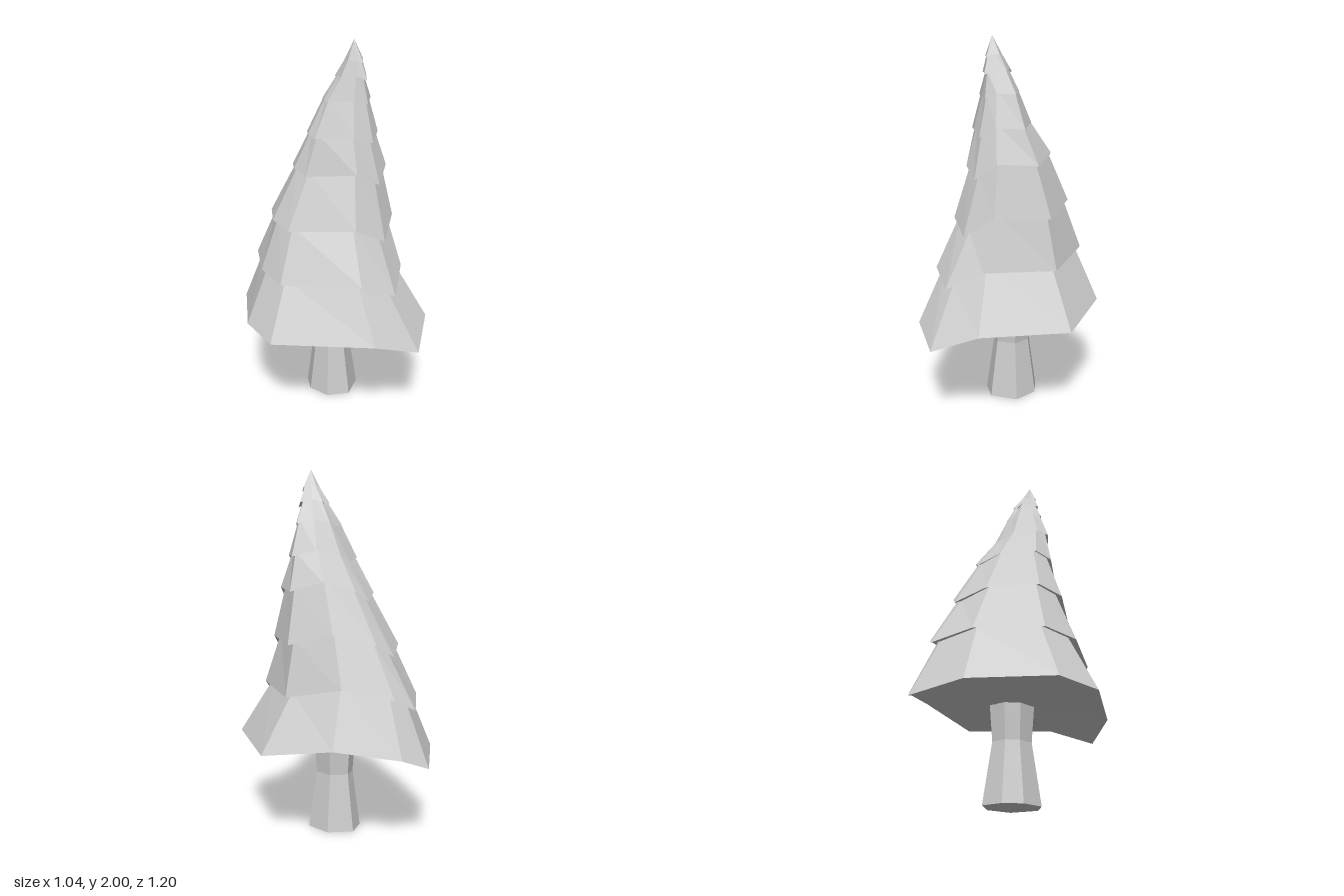
import * as THREE from 'three';

// Rim outline shared by all tiers, [x, z] in a unit square: back -> +x -> front -> -x
const OUTLINE = [[-0.26, -1], [0.03, -0.93], [0.6, -0.61], [1, -0.06], [0.7, 0.7],
  [0.35, 1], [-0.12, 0.92], [-0.95, 0.38], [-1, 0], [-0.67, -0.68]];
// Rise or droop of each rim corner
const DROOP = [-0.055, 0.005, 0.065, 0.005, 0.02, -0.08, -0.01, -0.02, 0.01, -0.01];

// Tiers, bottom to top: rim height, droop strength, jaggedness and extents in x and z
const TIERS = [
  { y: 0.51, droop: 1, jag: 0, x: [-0.52, 0.52], z: [-0.6, 0.6] },
  { y: 0.8, droop: 1, jag: 0, x: [-0.42, 0.37], z: [-0.505, 0.475] },
  { y: 1.07, droop: 1.05, jag: 0, x: [-0.35, 0.34], z: [-0.375, 0.365] },
  { y: 1.345, droop: 0.85, jag: 0, x: [-0.24, 0.29], z: [-0.23, 0.3] },
  { y: 1.53, droop: 0.5, jag: 0.05, x: [-0.19, 0.24], z: [-0.1, 0.26] },
  { y: 1.705, droop: 0.3, jag: 0.1, x: [-0.11, 0.19], z: [-0.02, 0.22] },
  { y: 1.82, droop: 0.25, jag: 0.2, x: [-0.04, 0.145], z: [0.03, 0.22] },
  { y: 1.9, droop: 0.2, jag: 0.25, x: [0, 0.11], z: [0.09, 0.2] },
];

// Rim corners of one tier: the outline fitted to its extents, with every other corner pulled in
function makeRim({ y, droop, jag, x, z }) {
  return OUTLINE.map(([u, v], i) => {
    const pull = i % 2 ? 1 : 1 - jag;
    return [
      (x[0] + x[1] + u * pull * (x[1] - x[0])) / 2,
      y + DROOP[i] * droop,
      (z[0] + z[1] + v * pull * (z[1] - z[0])) / 2,
    ];
  });
}

// Ring scaled about its own centre and lifted
function inset(ring, scale, lift) {
  const [cx, cz] = [0, 2].map((k) => ring.reduce((s, p) => s + p[k], 0) / ring.length);
  return ring.map(([x, y, z]) => [cx + (x - cx) * scale, y + lift, cz + (z - cz) * scale]);
}

// Faceted skin over a stack of equal-count rings, closed by a point at each end
function loft(name, rings, bottom, top) {
  const pos = [];
  const tri = (...pts) => pts.forEach((p) => pos.push(...p));
  const n = rings[0].length;
  const last = rings[rings.length - 1];
  for (let i = 0; i < n; i++) {
    const j = (i + 1) % n;
    tri(rings[0][i], rings[0][j], bottom);
    for (let r = 0; r < rings.length - 1; r++) {
      const lo = rings[r], up = rings[r + 1];
      tri(lo[i], up[i], up[j]);
      tri(lo[i], up[j], lo[j]);
    }
    tri(last[i], top, last[j]);
  }
  const geo = new THREE.BufferGeometry();
  geo.setAttribute('position', new THREE.Float32BufferAttribute(pos, 3));
  geo.computeVertexNormals();
  const mesh = new THREE.Mesh(geo, new THREE.MeshStandardMaterial({ color: 0xcccccc, flatShading: true }));
  mesh.name = name;
  return mesh;
}

export function createModel() {
  const tree = new THREE.Group();
  tree.name = 'pineTree';

  // Foliage: each tier narrows until it tucks under the rim of the next
  const rings = [];
  TIERS.forEach((tier, i) => {
    const rim = makeRim(tier);
    if (i > 0) rings.push(inset(rim, i < 6 ? 0.89 : 0.75, 0.02));
    rings.push(rim);
  });
  tree.add(loft('foliage', rings, [0, 0.52, 0], [0.05, 2, 0.15]));

  // Trunk: seven-sided, flared at the foot and slightly at the top
  const foot = [[0, 0, -0.16], [0.12, 0, -0.08], [0.145, 0, 0.06], [0.03, 0, 0.16],
    [-0.09, 0, 0.12], [-0.135, 0, 0], [-0.1, 0, -0.1]];
  const trunk = [foot, inset(foot, 0.69, 0.32), inset(foot, 0.79, 0.51)];
  tree.add(loft('trunk', trunk, [0, 0, 0], [0, 0.54, 0]));

  return tree;
}
